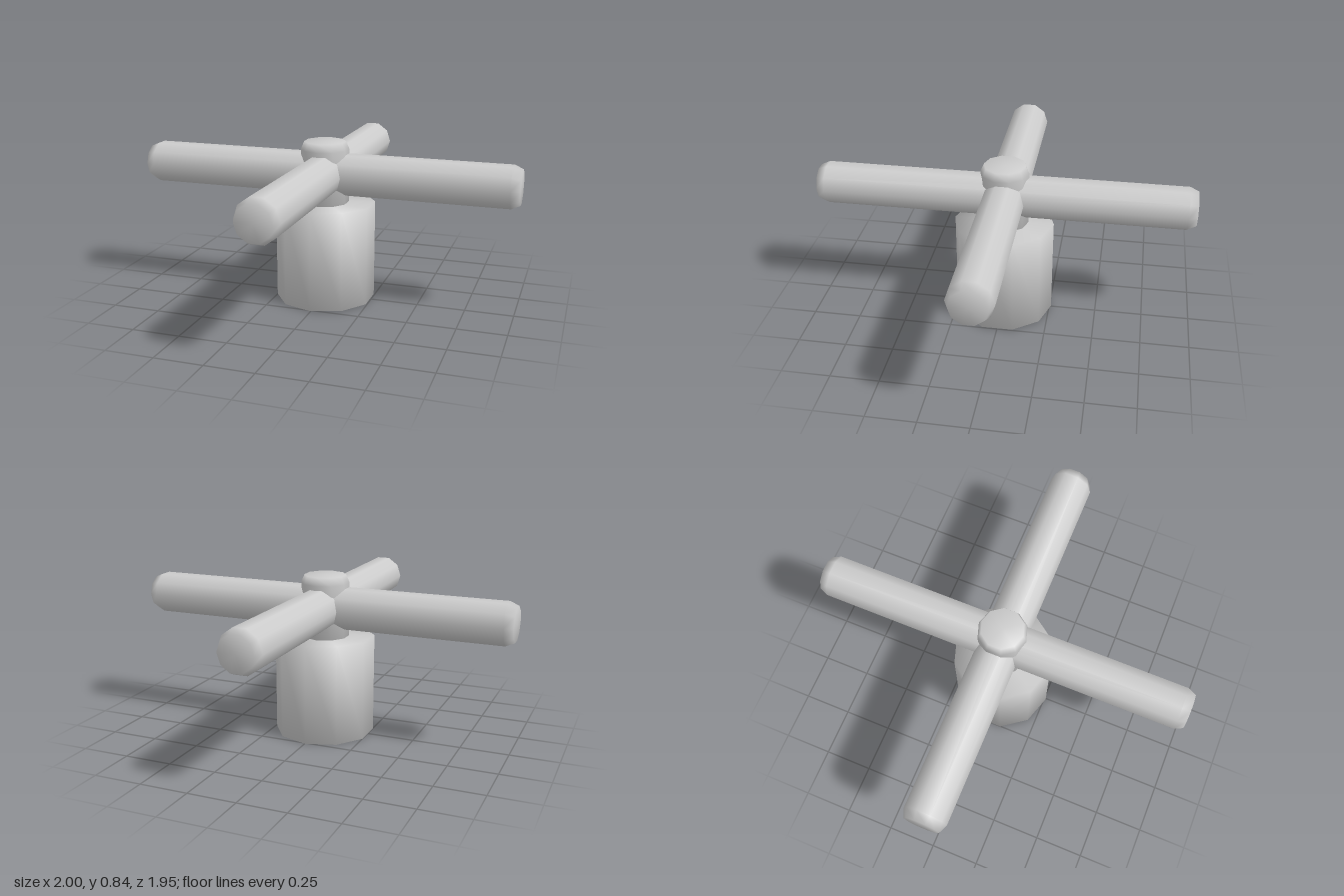
import * as THREE from 'three';

const SIDES = 10;

// Ten-sided smooth solid turned around y from [radius, height] pairs.
function turned(name, profile, material, phiStart = 0) {
  const points = profile.map(([r, y]) => new THREE.Vector2(r, y));
  const mesh = new THREE.Mesh(new THREE.LatheGeometry(points, SIDES, phiStart), material);
  mesh.name = name;
  return mesh;
}

export function createModel() {
  const group = new THREE.Group();
  group.name = 'crossHandle';
  const grey = new THREE.MeshStandardMaterial({ color: 0xcccccc });
  grey.name = 'light grey';

  // Thick stem standing on the ground
  const stem = turned('stem', [[0, 0], [0.26, 0], [0.26, 0.52], [0, 0.52]], grey);
  stem.position.x = -0.004;
  group.add(stem);

  // Hub with a bevelled cap
  const hub = turned('hub',
    [[0, 0.5], [0.125, 0.5], [0.125, 0.8], [0.108, 0.84], [0, 0.84]], grey);
  hub.position.set(-0.008, 0, -0.003);
  group.add(hub);

  // Two crossing bars with bevelled ends make the four arms
  const bar = (name, half, turn) => {
    const mesh = turned(name, [
      [0, -half], [0.09, -half], [0.11, -half + 0.045],
      [0.11, half - 0.045], [0.09, half], [0, half],
    ], grey, Math.PI / 2);
    mesh.geometry.rotateX(Math.PI / 2).rotateY(turn);
    mesh.position.set(0, 0.672, 0);
    group.add(mesh);
    return mesh;
  };
  bar('sideArms', 1, Math.PI / 2).position.z = -0.004;
  bar('frontBackArms', 0.975, 0).position.x = -0.004;

  return group;
}
